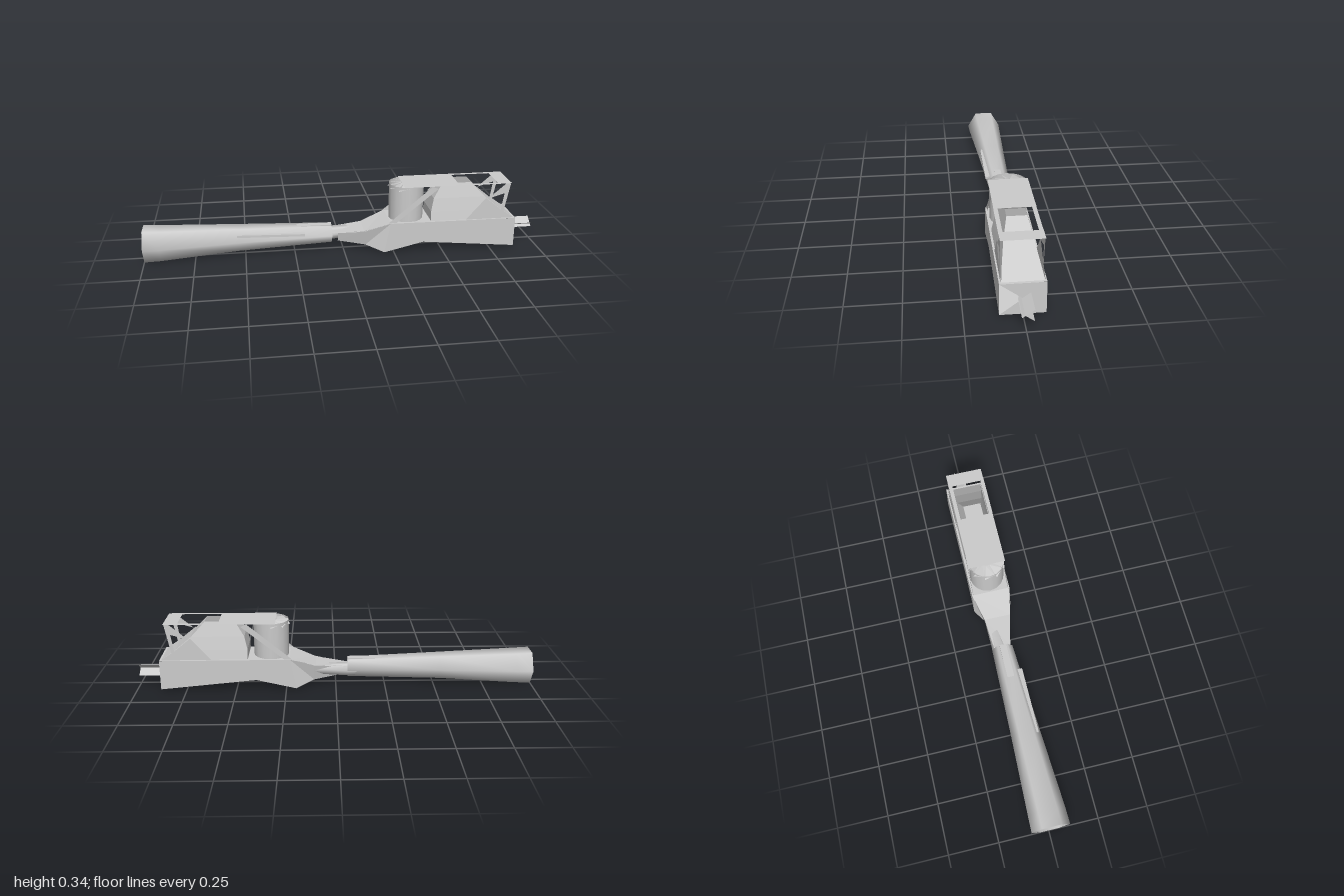
import * as THREE from 'three';

const smooth = new THREE.MeshStandardMaterial({ color: 0xcccccc, side: THREE.DoubleSide });
const flat = new THREE.MeshStandardMaterial({ color: 0xcccccc, side: THREE.DoubleSide, flatShading: true });

export function createModel() {
  const model = new THREE.Group();

  function add(name, geometry, mat = flat) {
    const mesh = new THREE.Mesh(geometry, mat);
    mesh.name = name;
    model.add(mesh);
    return mesh;
  }

  // Skin stretched over a list of equal-length point rows
  function skin(name, rows, closed = false, mat = flat) {
    const n = rows[0].length, index = [];
    for (let i = 0; i < rows.length - 1; i++) {
      for (let j = 0; j < (closed ? n : n - 1); j++) {
        const k = (j + 1) % n, a = i * n, b = a + n;
        index.push(a + j, a + k, b + j, a + k, b + k, b + j);
      }
    }
    const g = new THREE.BufferGeometry();
    g.setAttribute('position', new THREE.Float32BufferAttribute(rows.flat(2), 3));
    g.setIndex(index);
    g.computeVertexNormals();
    return add(name, g, mat);
  }

  // Flat panel with its outline in x and y, standing at depth z
  function sidePanel(name, outline, z) {
    const g = new THREE.ShapeGeometry(new THREE.Shape(outline.map(p => new THREE.Vector2(...p))));
    g.translate(0, 0, z);
    return add(name, g);
  }

  // Horizontal panel between two x and two z limits
  const slab = (name, x0, x1, y, z0, z1) =>
    skin(name, [[[x0, y, z0], [x0, y, z1]], [[x1, y, z0], [x1, y, z1]]]);

  // Six-sided ring across the barrel
  const hexRing = ([x, cy, cz, ry, rz]) => Array.from({ length: 6 }, (_, i) => {
    const a = i * Math.PI / 3;
    return [x, cy + ry * Math.sin(a) / Math.sin(Math.PI / 3), cz + rz * Math.cos(a)];
  });

  // Long tapering barrel, open at the muzzle
  skin('barrel', [
    [-1, 0.081, 0.006, 0.081, 0.095], [-0.92, 0.08, 0.006, 0.078, 0.093],
    [-0.53, 0.086, 0, 0.058, 0.074], [-0.06, 0.085, -0.008, 0.043, 0.054],
  ].map(hexRing), true, smooth);

  // Thin neck running from the barrel into the body
  skin('neck', [
    [-0.3, 0.083, -0.014, 0.03, 0.044], [-0.06, 0.078, -0.022, 0.03, 0.038],
    [0.18, 0.086, -0.04, 0.018, 0.024],
  ].map(hexRing), true, smooth);

  // Raised strips along the barrel
  for (const [x0, x1, y, z, tilt] of [[-0.54, -0.2, 0.11, 0.045, -0.03], [-0.53, -0.06, 0.128, -0.005, 0]]) {
    const strip = add('barrelStrip', new THREE.BoxGeometry(x1 - x0, 0.012, 0.035));
    strip.position.set((x0 + x1) / 2, y, z);
    strip.rotation.z = tilt;
  }

  // Waisted body: deck, walls and underside
  const bottom = [[0.2, 0.003], [0.4, 0.05], [0.88, 0.003]];
  for (const z of [-0.1, 0.1]) {
    sidePanel('bodyWall', [...bottom, [0.88, 0.155], [0.23, 0.158]], z);
  }
  skin('bodyUnderside', bottom.map(([x, y]) => [[x, y, -0.1], [x, y, 0.1]]));
  slab('bodyDeck', 0.23, 0.88, 0.156, -0.1, 0.1);

  // End wall with a wedge torn out of one side
  const end = sidePanel('bodyEnd',
    [[-0.1, 0.155], [0.1, 0.155], [0.1, 0.003], [-0.1, 0.003], [0, 0.08]], 0);
  end.rotation.y = Math.PI / 2;
  end.position.x = 0.88;

  // Pointed nose narrowing toward the barrel
  skin('noseTop', [
    [[-0.06, 0.1, -0.05], [-0.06, 0.095, 0.035]],
    [[0.1, 0.115, -0.064], [0.1, 0.11, 0.072]],
    [[0.23, 0.158, -0.1], [0.23, 0.158, 0.1]],
  ]);
  for (const s of [-1, 1]) {
    skin('noseSide', [
      [[-0.03, 0.095, s * 0.035], [-0.03, 0.05, s * 0.025]],
      [[0.11, 0.115, s * 0.07], [0.11, 0.03, s * 0.05]],
      [[0.23, 0.158, s * 0.1], [0.2, 0.003, s * 0.1]],
    ]);
  }
  skin('noseUnderside', [
    [[0.11, 0.03, -0.05], [0.11, 0.03, 0.05]],
    [[0.2, 0.003, -0.1], [0.2, 0.003, 0.1]],
  ]);

  // Stub at the rear: two strips meeting in a V
  for (const s of [-1, 1]) {
    skin('rearStub', [0.86, 1].map(x => [[x, 0.08 - s * 0.01, 0.02], [x, 0.08 + s * 0.028, -0.033]]));
  }

  // Round front turret
  const turret = add('frontTurret',
    new THREE.CylinderGeometry(0.09, 0.088, 0.184, 16, 1, true), smooth);
  turret.position.set(0.325, 0.249, 0);

  // Jagged flaps around the turret top
  for (let i = 0; i < 5; i++) {
    const a = Math.PI / 2 + (i + 0.5) * Math.PI / 5, w = 0.28;
    const at = (r, t, y) => [0.325 + r * Math.cos(t), y, r * Math.sin(t)];
    skin('turretFlap', [[at(0.03, a - w, 0.342), at(0.03, a + w, 0.342)],
      [at(0.09, a - w, 0.335), at(0.1, a + w, 0.32)]]);
  }

  // Middle support with a hollow front and a ramp falling to the rear
  skin('middleSupport', [
    [0.157, 0.44, 0.87, 0.09], [0.205, 0.44, 0.8, 0.08], [0.27, 0.455, 0.72, 0.065], [0.342, 0.5, 0.65, 0.045],
  ].map(([y, x0, x1, z]) => [[x0, y, -z], [x1, y, -z], [x1, y, z], [x0, y, z]]), true);

  // Top plates with an open window between the rails
  slab('topPlate', 0.3, 0.58, 0.343, -0.095, 0.093);
  slab('topRearBar', 0.78, 0.85, 0.343, -0.095, 0.093);
  for (const s of [-1, 1]) {
    slab('topRail', 0.58, 0.8, 0.343, s * 0.075, s * 0.094);
    // Pointed side fins and slim struts
    sidePanel('sideFin', [[0.62, 0.157], [0.87, 0.157], [0.8, 0.205], [0.72, 0.27]], s * 0.093);
    sidePanel('rearStrut', [[0.845, 0.342], [0.82, 0.342], [0.73, 0.265], [0.815, 0.29], [0.8, 0.19], [0.815, 0.185]], s * 0.092);
    sidePanel('braceStrut', [[0.22, 0.158], [0.26, 0.158], [0.47, 0.33], [0.44, 0.342]], s * 0.093);
  }

  return model;
}
